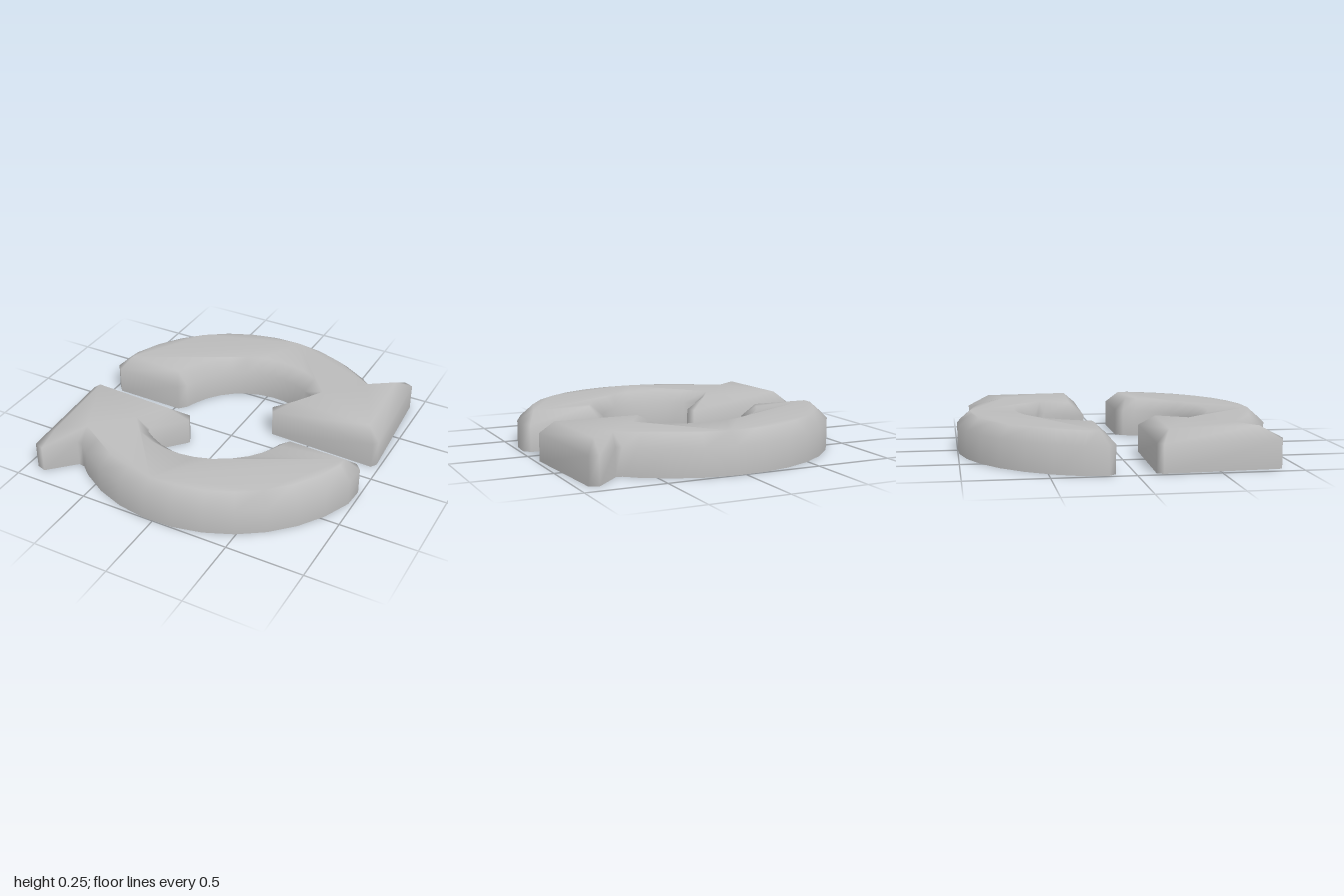
import * as THREE from 'three';

const WALL_TOP = 0.175, TOP = 0.25, BEVEL = 0.085;

// Points on an arc [x, z] paired with their inset points on the top face.
function arc(cx, cz, r, inset, from, to, steps) {
  const out = [];
  for (let i = 0; i <= steps; i++) {
    const a = THREE.MathUtils.degToRad(from + (to - from) * i / steps);
    const c = -Math.cos(a), s = -Math.sin(a);
    out.push({ wall: [[cx + c * r, cz + s * r]], top: [cx + c * (r + inset), cz + s * (r + inset)] });
  }
  return out;
}

// A clipped corner: two wall points meeting in one top point.
const corner = (a, b, top) => ({ wall: [a, b], top });

// Outline of one arrow, clockwise from above.
function arrowOutline() {
  return [
    corner([-0.94, -0.115], [-0.98, -0.16], [-0.89, -0.2]),        // outer tail
    ...arc(0, 0.02, 1.021, -BEVEL, 18, 125.9, 10),                 // outer curve
    corner([0.67, -0.745], [0.71, -0.74], [0.69, -0.65]),          // outer notch
    corner([0.87, -0.9], [0.93, -0.88], [0.85, -0.76]),            // outer barb
    corner([0.975, -0.16], [0.95, -0.12], [0.89, -0.205]),         // arrow point
    corner([0.23, -0.145], [0.205, -0.2], [0.35, -0.23]),          // inner barb
    corner([0.385, -0.4], [0.38, -0.44], [0.465, -0.42]),          // inner notch
    ...arc(0.055, -0.05, 0.492, BEVEL, 121, 22, 9),                // inner curve
    corner([-0.43, -0.16], [-0.475, -0.11], [-0.515, -0.19]),      // inner tail
  ];
}

// Open-bottomed shell: upright wall, sloped bevel and flat top.
function arrowGeometry() {
  const outline = arrowOutline();
  const wall = [], topOf = [];
  outline.forEach((p, i) => p.wall.forEach((w) => { wall.push(w); topOf.push(i); }));
  const n = wall.length;
  const pos = [];
  for (const y of [0, WALL_TOP]) wall.forEach(([x, z]) => pos.push(x, y, z));
  outline.forEach(({ top: [x, z] }) => pos.push(x, TOP, z));

  const index = [];
  for (let i = 0; i < n; i++) {
    const j = (i + 1) % n;
    const a = 2 * n + topOf[i], b = 2 * n + topOf[j];
    index.push(j, i, n + i, j, n + i, n + j);
    index.push(n + j, n + i, a);
    if (a !== b) index.push(n + j, a, b);
  }
  // top face, every triangle turned upward
  const pts = outline.map(({ top }) => new THREE.Vector2(top[0], top[1]));
  for (const [a, b, c] of THREE.ShapeUtils.triangulateShape(pts, [])) {
    const u = pts[b].clone().sub(pts[a]), v = pts[c].clone().sub(pts[a]);
    const up = u.y * v.x - u.x * v.y > 0;
    index.push(2 * n + a, 2 * n + (up ? b : c), 2 * n + (up ? c : b));
  }
  const g = new THREE.BufferGeometry();
  g.setAttribute('position', new THREE.Float32BufferAttribute(pos, 3));
  g.setIndex(index);
  g.computeVertexNormals();
  return g;
}

export function createModel() {
  const group = new THREE.Group();
  group.name = 'circularArrows';
  const grey = new THREE.MeshStandardMaterial({ color: 0xbcbcbc, side: THREE.DoubleSide });
  grey.name = 'light grey';
  const geometry = arrowGeometry();
  // two arrows, half a turn apart
  ['backArrow', 'frontArrow'].forEach((name, i) => {
    const mesh = new THREE.Mesh(geometry, grey);
    mesh.name = name;
    mesh.rotation.y = i * Math.PI;
    group.add(mesh);
  });
  return group;
}
